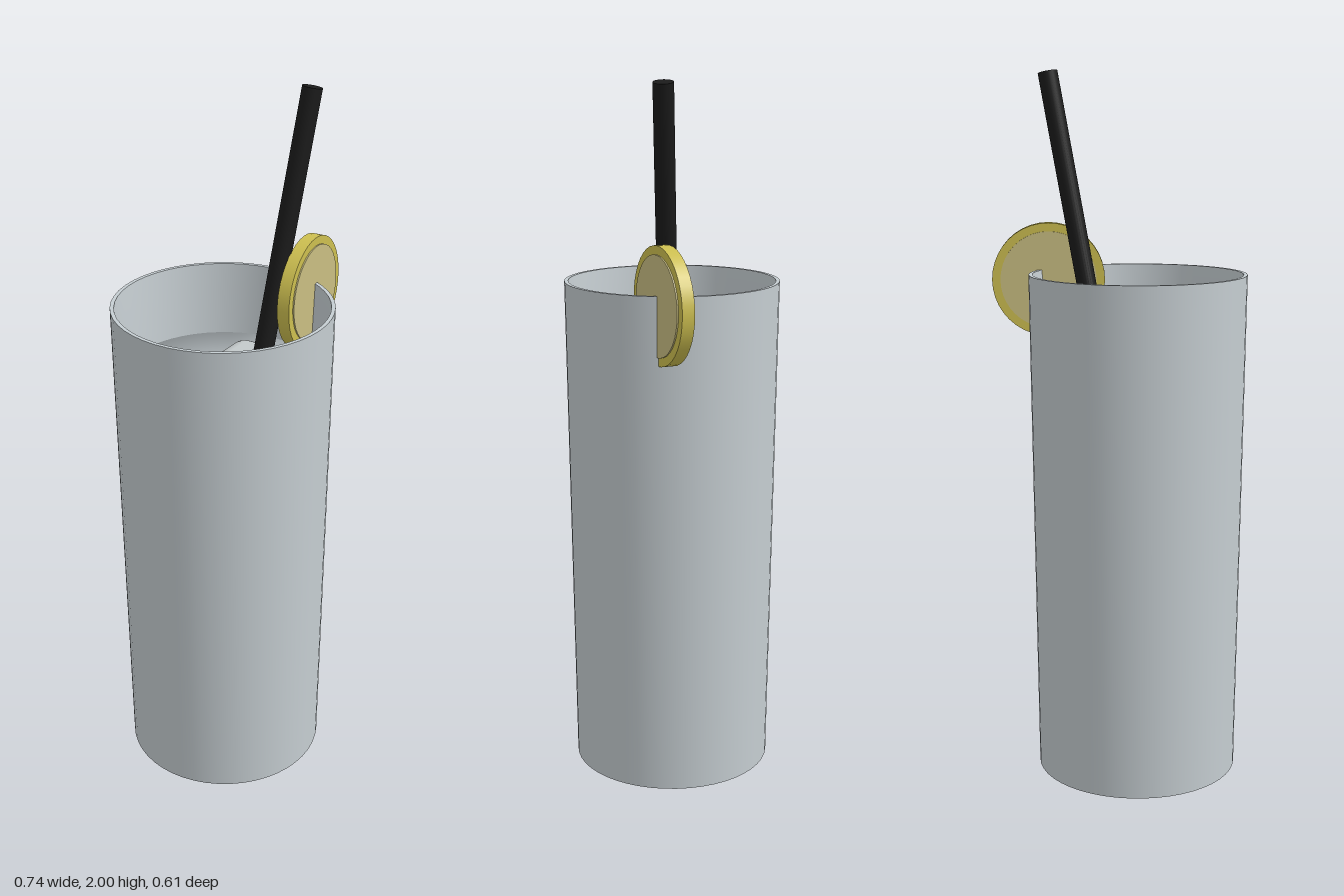
import * as THREE from 'three';
import { toCreasedNormals } from 'three/addons/utils/BufferGeometryUtils.js';
import { RoundedBoxGeometry } from 'three/addons/geometries/RoundedBoxGeometry.js';

function material(name, color) {
  const m = new THREE.MeshStandardMaterial({ color });
  m.name = name;
  return m;
}

function lathe(profile, segments = 48) {
  return new THREE.LatheGeometry(profile.map(([r, y]) => new THREE.Vector2(r, y)), segments);
}

export function createModel() {
  const model = new THREE.Group();
  model.name = 'drink';

  const glassGrey = material('glass grey', 0xc6ced2);
  const iceGrey = material('ice grey', 0xc4cacb);
  const strawBlack = material('straw black', 0x1b1b1b);
  const rindYellow = material('rind yellow', 0xcdbf50);
  const fleshYellow = material('flesh yellow', 0xc9be82);

  function add(name, geometry, mat, parent = model) {
    const mesh = new THREE.Mesh(geometry, mat);
    mesh.name = name;
    parent.add(mesh);
    return mesh;
  }

  // Tapered tumbler wall, with a thin rim and a hollow foot
  const glassX = -0.067;
  const wall = lathe([
    [0.27, 0], [0.287, 0], [0.306, 1.44], [0.295, 1.44], [0.28, 1.23], [0.27, 0],
  ]);
  add('glass', toCreasedNormals(wall, 0.6), glassGrey).position.x = glassX;

  // Liquid body, softly shaded over its edges
  const body = lathe([[0, 0.08], [0.272, 0.08], [0.281, 1.23], [0, 1.23]]);
  add('liquid', body, glassGrey).position.x = glassX;

  // Ice cube just breaking the surface
  const ice = add('iceCube', new RoundedBoxGeometry(0.28, 0.28, 0.28, 3, 0.05), iceGrey);
  ice.position.set(0.008, 1.13, 0.045);
  ice.rotation.y = 0.42;

  // Leaning straw
  const top = new THREE.Vector3(0.218, 1.994, 0);
  const foot = new THREE.Vector3(-0.16, 0.16, 0);
  const axis = top.clone().sub(foot);
  const straw = add('straw', new THREE.CylinderGeometry(0.028, 0.028, axis.length(), 24), strawBlack);
  straw.position.copy(top).add(foot).multiplyScalar(0.5);
  straw.quaternion.setFromUnitVectors(new THREE.Vector3(0, 1, 0), axis.normalize());

  // Lemon slice hooked over the rim: rind disc with slightly proud flesh
  const slice = new THREE.Group();
  slice.name = 'lemonSlice';
  slice.position.set(0.22, 1.412, 0);
  slice.rotation.y = 0.5;
  model.add(slice);
  const disc = (r, depth) => new THREE.CylinderGeometry(r, r, depth, 40).rotateX(Math.PI / 2);
  add('rind', disc(0.162, 0.036), rindYellow, slice);
  add('flesh', disc(0.138, 0.044), fleshYellow, slice);

  return model;
}
